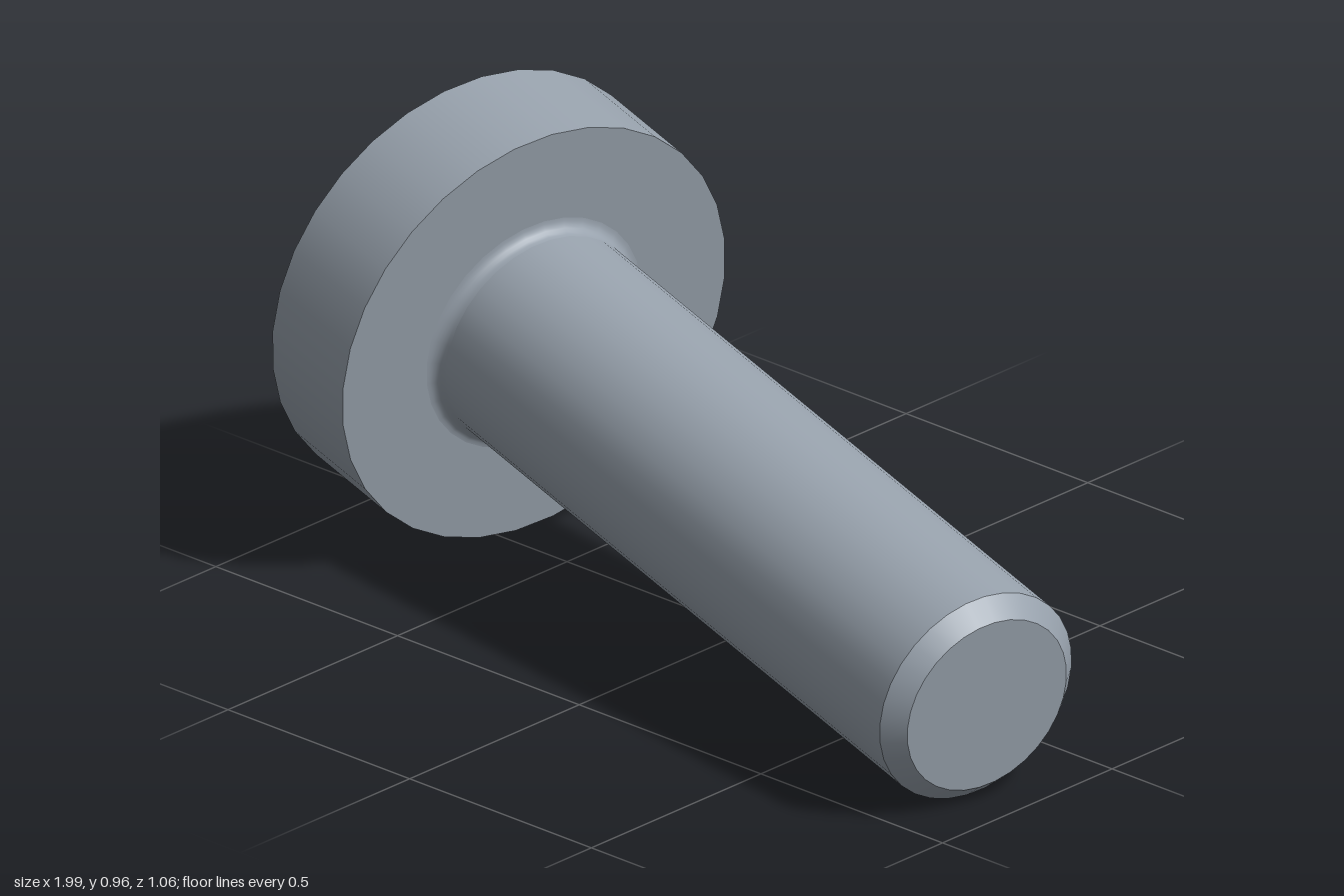
import * as THREE from 'three';

const SEG = 32;
const HEAD_R = 0.468, RIM_H = 0.25, DOME_S = 1.0;
const SHAFT_R = 0.2346, LENGTH = 1.609, CHAMFER = 0.04, FILLET = 0.028;
const PATCH_R = 0.3, RECESS_FLOOR = 0.115;

// height of the domed top at a given distance from the axis
const domeY = (r) => RIM_H + Math.sqrt(DOME_S ** 2 - r * r) - Math.sqrt(DOME_S ** 2 - HEAD_R ** 2);

// four-winged outline with a narrow diagonal slit between the wings
function recessOutline(reach, half, slit) {
  const e = 0.014, h = 0.007, pts = [];
  const quarter = [
    [reach, -half], [reach, half], [half + e, half],
    [slit + h, slit - h], [slit - h, slit + h], [half, half + e],
  ];
  for (let k = 0; k < 4; k++) {
    for (const [x, y] of quarter) {
      pts.push(new THREE.Vector2(x, y).rotateAround(new THREE.Vector2(), k * Math.PI / 2));
    }
  }
  return pts;
}

// centre of the dome, from the recess edge to a circle
function domePatch(outline) {
  const circle = [];
  for (let i = 0; i < SEG; i++) {
    const t = i / SEG * Math.PI * 2;
    circle.push(new THREE.Vector2(PATCH_R * Math.cos(t), PATCH_R * Math.sin(t)));
  }
  const shape = new THREE.Shape(circle);
  shape.holes.push(new THREE.Path(outline));
  const geo = new THREE.ShapeGeometry(shape).rotateX(-Math.PI / 2);
  const p = geo.attributes.position, n = geo.attributes.normal;
  for (let i = 0; i < p.count; i++) {
    const x = p.getX(i), z = p.getZ(i), r = Math.hypot(x, z);
    p.setY(i, domeY(r));
    n.setXYZ(i, x / DOME_S, Math.sqrt(DOME_S ** 2 - r * r) / DOME_S, z / DOME_S);
  }
  return geo;
}

// tapering walls and shallow conical floor of the driver recess
function recessGeometry(outline) {
  const top = outline.map((v) => new THREE.Vector3(v.x, domeY(v.length()), -v.y));
  const low = recessOutline(0.13, 0.06, 0.07).map((v) => new THREE.Vector3(v.x, RECESS_FLOOR, -v.y));
  const tip = new THREE.Vector3(0, RECESS_FLOOR - 0.03, 0);
  const pts = [];
  for (let i = 0; i < top.length; i++) {
    const j = (i + 1) % top.length;
    pts.push(low[i], top[j], low[j], low[i], top[i], top[j], tip, low[i], low[j]);
  }
  const geo = new THREE.BufferGeometry().setFromPoints(pts);
  geo.computeVertexNormals();
  return geo;
}

export function createModel() {
  const steel = new THREE.MeshStandardMaterial({ color: 0x98a2ad });
  steel.name = 'steel grey';
  const screw = new THREE.Group();
  screw.name = 'screw';

  const add = (name, geo) => {
    const mesh = new THREE.Mesh(geo, steel);
    mesh.name = name;
    screw.add(mesh);
  };
  const turn = (name, profile) =>
    add(name, new THREE.LatheGeometry(profile.map(([r, y]) => new THREE.Vector2(r, y)), SEG));

  // shank, from the tip up to the head
  const tipR = SHAFT_R - CHAMFER;
  turn('tipFace', [[0, -LENGTH], [tipR, -LENGTH]]);
  turn('tipChamfer', [[tipR, -LENGTH], [SHAFT_R, -LENGTH + CHAMFER]]);
  turn('shank', [[SHAFT_R, -LENGTH + CHAMFER], [SHAFT_R, -FILLET]]);
  const fillet = [];
  for (let i = 0; i <= 6; i++) {
    const t = i / 6 * Math.PI / 2;
    fillet.push([SHAFT_R + FILLET * (1 - Math.cos(t)), -FILLET * (1 - Math.sin(t))]);
  }
  turn('neckFillet', fillet);

  // head
  turn('headUnderside', [[SHAFT_R + FILLET, 0], [HEAD_R, 0]]);
  turn('headRim', [[HEAD_R, 0], [HEAD_R, RIM_H]]);
  const dome = [];
  for (let i = 0; i <= 6; i++) {
    const r = HEAD_R + (PATCH_R - HEAD_R) * i / 6;
    dome.push([r, domeY(r)]);
  }
  turn('headDome', dome);
  const outline = recessOutline(0.248, 0.087, 0.191);
  add('headCrown', domePatch(outline));
  add('driverRecess', recessGeometry(outline));

  // lay the screw down along its tilted axis
  const axis = new THREE.Vector3(-0.967, 0.1485, -0.206).normalize();
  const side = new THREE.Vector3(0.145, 0.989, 0.04).addScaledVector(axis, 0).projectOnPlane(axis).normalize();
  const third = new THREE.Vector3().crossVectors(side, axis);
  screw.quaternion.setFromRotationMatrix(new THREE.Matrix4().makeBasis(side, axis, third));
  screw.position.set(-0.61, 0.467, -0.02);

  const model = new THREE.Group();
  model.name = 'panHeadScrew';
  model.add(screw);
  return model;
}
